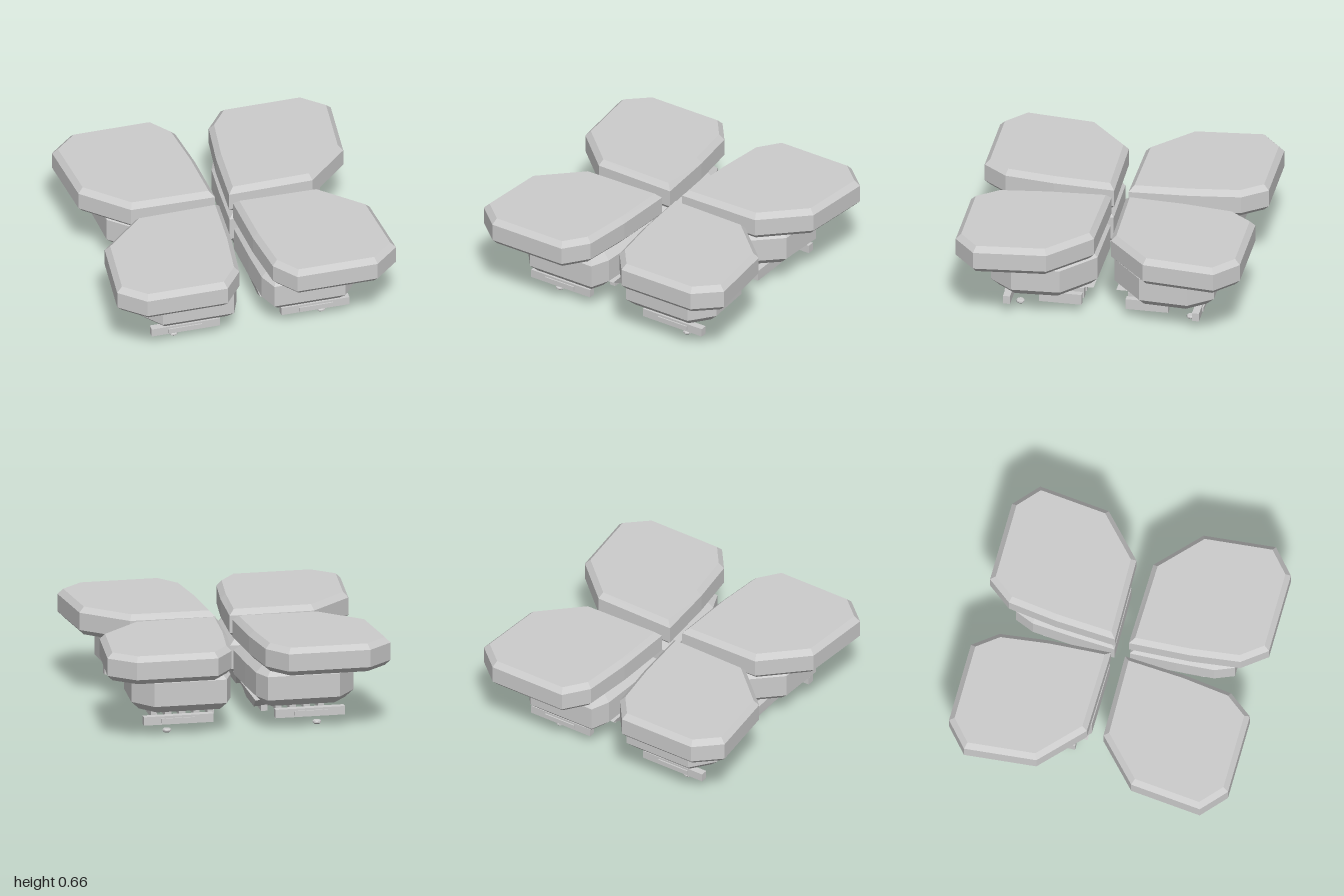
import * as THREE from 'three';

const grey = new THREE.MeshStandardMaterial({ color: 0xcccccc });
grey.name = 'light grey';

// outlines of one quarter as [x, z]
const CAP = [[0.05, 0.05], [0.65, 0.06], [0.95, 0.34], [1, 0.845], [0.825, 1], [0.25, 1], [0.12, 0.83], [0.075, 0.48]];
const BODY = [[0.055, 0.055], [0.52, 0.06], [0.765, 0.28], [0.785, 0.62], [0.655, 0.785], [0.145, 0.785], [0.09, 0.65], [0.07, 0.38]];

function add(group, name, geometry, x = 0, y = 0, z = 0) {
  const mesh = new THREE.Mesh(geometry, grey);
  mesh.name = name;
  mesh.position.set(x, y, z);
  group.add(mesh);
}

// flat slab with chamfered rims, its outline lying in the ground plane
function slab(points, sx, sz, y0, y1, size, thickness) {
  const shape = new THREE.Shape(points.map(([x, z]) => new THREE.Vector2(x * sx, z * sz)));
  const geometry = new THREE.ExtrudeGeometry(shape, {
    depth: y1 - y0 - 2 * thickness, bevelSegments: 1,
    bevelSize: size, bevelOffset: -size, bevelThickness: thickness,
  });
  return geometry.rotateX(Math.PI / 2).translate(0, y1 - thickness, 0);
}

// box whose lower end narrows; ranges are [inner, outer]
function taperedMount(sx, sz) {
  const geometry = new THREE.BoxGeometry(1, 1, 1);
  const p = geometry.attributes.position;
  for (let i = 0; i < p.count; i++) {
    const top = p.getY(i) > 0;
    const xs = top ? [0.1, 0.56] : [0.12, 0.21];
    const zs = top ? [0.08, 0.58] : [0.17, 0.43];
    const x = xs[p.getX(i) * sx > 0 ? 1 : 0];
    const z = zs[p.getZ(i) * sz > 0 ? 1 : 0];
    p.setXYZ(i, x * sx, top ? 0.185 : 0.1, z * sz);
  }
  geometry.computeVertexNormals();
  return geometry;
}

function createQuarter(sx, sz) {
  const quarter = new THREE.Group();
  quarter.name = 'quarter';
  add(quarter, 'cap', slab(CAP, sx, sz, 0.46, 0.66, 0.036, 0.038));
  add(quarter, 'body', slab(BODY, sx, sz, 0.182, 0.46, 0.055, 0.055));
  add(quarter, 'mount', taperedMount(sx, sz));

  // row of ribs underneath
  for (let i = 0; i < 5; i++) {
    add(quarter, 'rib', new THREE.BoxGeometry(0.045, 0.077, 0.3), sx * (0.19 + i * 0.1), 0.109, sz * 0.305);
  }

  // outer bar with a raised plate
  add(quarter, 'bar', new THREE.BoxGeometry(0.49, 0.06, 0.05), sx * 0.465, 0.11, sz * 0.665);
  add(quarter, 'barPlate', new THREE.BoxGeometry(0.24, 0.03, 0.012), sx * 0.47, 0.11, sz * 0.694);

  // small low-sided button
  const profile = [[0, 0], [0.018, 0], [0.03, 0.01], [0.03, 0.02], [0.024, 0.027], [0, 0.027]];
  const button = new THREE.LatheGeometry(profile.map(([r, y]) => new THREE.Vector2(r, y)), 8).toNonIndexed();
  button.computeVertexNormals();
  add(quarter, 'button', button, sx * 0.53, 0, sz * 0.6);
  return quarter;
}

export function createModel() {
  const model = new THREE.Group();
  model.name = 'fourPartCluster';
  for (const sx of [-1, 1]) for (const sz of [-1, 1]) model.add(createQuarter(sx, sz));
  return model;
}
